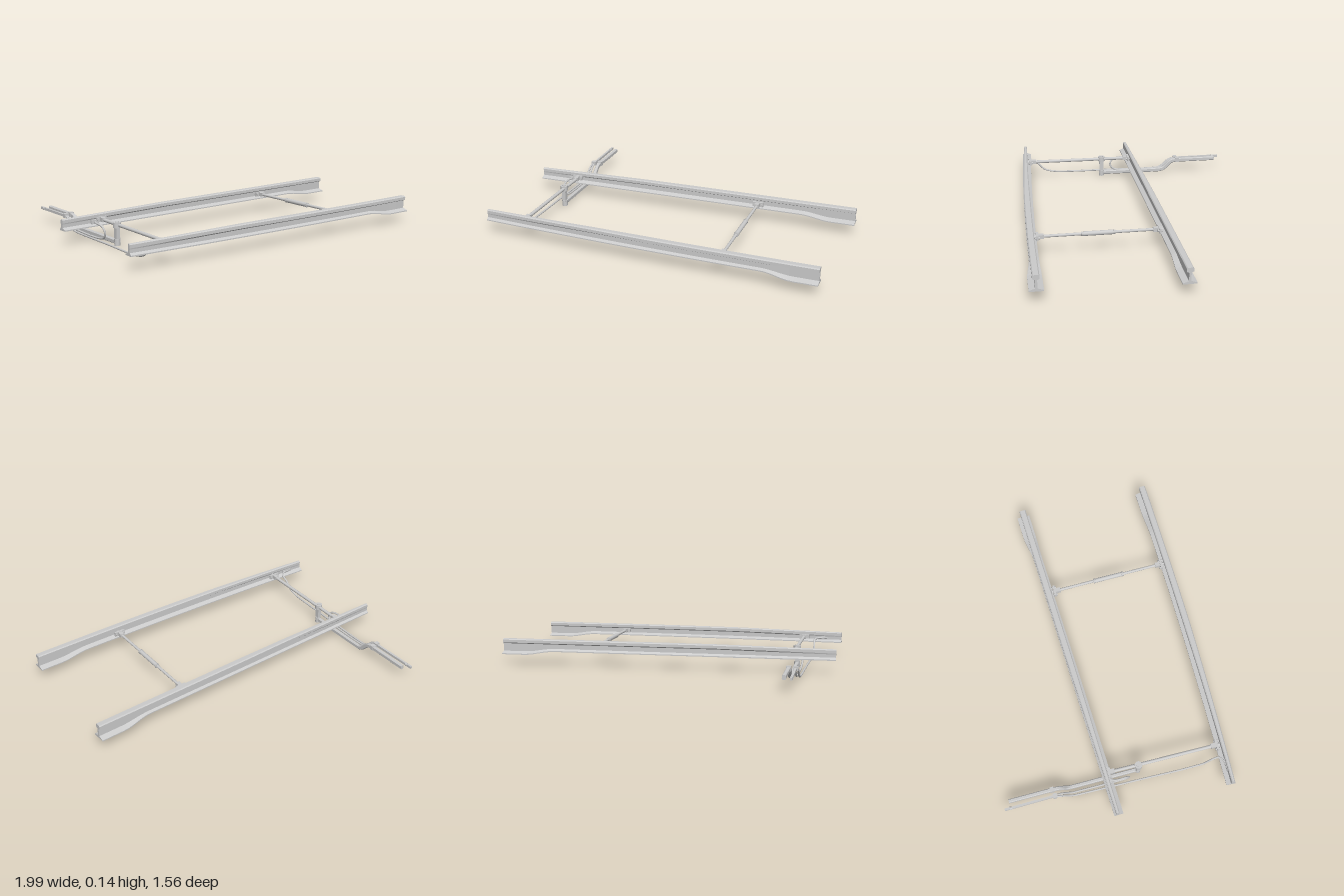
import * as THREE from 'three';

const V = (x, y, z) => new THREE.Vector3(x, y, z);
const UP = V(0, 1, 0);
const grey = new THREE.MeshStandardMaterial({ color: 0xcccccc });
const lerp = THREE.MathUtils.lerp, smooth = THREE.MathUtils.smoothstep;

// Sweeps a counter-clockwise outline, given for each t, along a curve; flat faces, closed ends
function sweep(curve, steps, outline) {
  const rings = [], pos = [];
  for (let i = 0; i <= steps; i++) {
    const t = i / steps, p = curve.getPointAt(t), d = curve.getTangentAt(t);
    const a = UP.clone().cross(d).normalize(), b = d.clone().cross(a);
    rings.push(outline(t).map(([u, v]) => p.clone().addScaledVector(a, u).addScaledVector(b, v)));
  }
  const tri = (...c) => c.forEach((q) => pos.push(q.x, q.y, q.z));
  const n = rings[0].length;
  for (let i = 0; i < steps; i++) {
    for (let j = 0; j < n; j++) {
      const k = (j + 1) % n, r = rings[i], s = rings[i + 1];
      tri(r[j], r[k], s[k]);
      tri(r[j], s[k], s[j]);
    }
  }
  const cap = (t, ring, flip) => {
    const flat = outline(t).map(([u, v]) => new THREE.Vector2(u, v));
    for (const [a, b, c] of THREE.ShapeUtils.triangulateShape(flat, [])) {
      if (flip) tri(ring[a], ring[c], ring[b]);
      else tri(ring[a], ring[b], ring[c]);
    }
  };
  cap(0, rings[0], true);
  cap(1, rings[steps], false);
  const g = new THREE.BufferGeometry();
  g.setAttribute('position', new THREE.Float32BufferAttribute(pos, 3));
  g.computeVertexNormals();
  return g;
}

// Rail section: narrow machined blade at t = 0, full rail at t = 1
function railOutline(t, outward) {
  const heel = smooth(t, 0.84, 0.93), blade = Math.min(t / 0.5, 1);
  const foot = lerp(0.077, 0.058, heel), top = lerp(0.137, 0.145, Math.min(t / 0.35, 1));
  const fi = lerp(0.032, 0.037, heel), fo = lerp(0.019, 0.036, heel);
  const hi = lerp(0.009, 0.018, blade), ho = lerp(0.009, 0.018, blade);
  const w = lerp(0.008, 0.006, heel);
  const pts = [
    [-fi, foot], [fo, foot], [fo, foot + 0.006], [w, foot + 0.016],
    [w, top - 0.027], [ho, top - 0.021], [ho, top - 0.005], [ho - 0.005, top],
    [-hi + 0.005, top], [-hi, top - 0.005], [-hi, top - 0.021], [-w, top - 0.027],
    [-w, foot + 0.016], [-fi, foot + 0.006],
  ];
  return outward > 0 ? pts : pts.map(([u, v]) => [-u, v]).reverse();
}

export function createModel() {
  const model = new THREE.Group();
  const add = (name, geometry, parent = model) => {
    const m = new THREE.Mesh(geometry, grey);
    m.name = name;
    parent.add(m);
    return m;
  };
  // Round bar between two points
  const rod = (name, a, b, r, sides = 14) => {
    const m = add(name, new THREE.CylinderGeometry(r, r, a.distanceTo(b), sides));
    m.position.copy(a).add(b).multiplyScalar(0.5);
    m.quaternion.setFromUnitVectors(UP, b.clone().sub(a).normalize());
    return m;
  };
  // Block turned to lie across the rails
  const yaw = -0.172;
  const block = (name, p, w, h, d) => {
    const m = add(name, new THREE.BoxGeometry(w, h, d));
    m.position.copy(p);
    m.rotation.y = yaw;
    return m;
  };
  const tube = (name, pts, r) =>
    add(name, new THREE.TubeGeometry(new THREE.CatmullRomCurve3(pts, false, 'centripetal'), 90, r, 8));
  // End disc for an open tube
  const endCap = (p, r) => {
    const m = add('rodEnd', new THREE.SphereGeometry(r, 10, 8));
    m.position.copy(p);
  };

  // Two switch rails
  const backPath = new THREE.LineCurve3(V(-0.885, 0, -0.24), V(0.988, 0, 0.023));
  const frontPath = new THREE.QuadraticBezierCurve3(V(-0.994, 0, 0.397), V(-0.1, 0, 0.593), V(0.836, 0, 0.741));
  add('backRail', sweep(backPath, 60, (t) => railOutline(t, 1)));
  add('frontRail', sweep(frontPath, 60, (t) => railOutline(t, -1)));

  // Stretcher with adjusting sleeve near the heel
  const s0 = V(0.337, 0.11, 0.64), s1 = V(0.447, 0.11, -0.03);
  const along = (a, b, t) => a.clone().lerp(b, t);
  rod('heelStretcher', s0, s1, 0.008);
  rod('adjustingSleeve', along(s0, s1, 0.38), along(s0, s1, 0.61), 0.0125);
  for (const t of [0.37, 0.62]) rod('lockNut', along(s0, s1, t - 0.008), along(s0, s1, t + 0.008), 0.014, 6);

  // Stretcher at the toe
  const t0 = V(-0.773, 0.11, 0.43), t1 = V(-0.655, 0.11, -0.205);
  rod('toeStretcher', t0, t1, 0.0095);

  // Rail brackets with bolts for both stretchers
  for (const [a, b] of [[s0, s1], [t0, t1]]) {
    for (const t of [0.025, 0.975]) {
      const p = along(a, b, t);
      block('railBracket', p, 0.06, 0.026, 0.012);
      block('clevis', along(a, b, t < 0.5 ? 0.05 : 0.95), 0.024, 0.022, 0.035);
      for (const s of [-1, 1]) {
        const c = p.clone().add(V(s * 0.022, 0, s * 0.004));
        const dir = b.clone().sub(a).normalize().multiplyScalar(0.013);
        rod('bracketBolt', c.clone().sub(dir), c.clone().add(dir), 0.007, 6);
      }
    }
  }

  // Drop bracket joining the toe stretcher to the throw bar
  const lineX = (z) => -0.693 - (z + 0.025) * 0.172;
  const joint = V(lineX(-0.025), 0, -0.025);
  block('dropBracket', joint.clone().setY(0.066), 0.022, 0.1, 0.024);
  rod('dropBracketPin', joint.clone().setY(0.005), joint.clone().setY(0.128), 0.011);
  rod('dropBracketCollar', joint.clone().setY(0.096), joint.clone().setY(0.124), 0.021, 16);
  rod('dropBracketFoot', joint.clone().setY(0), joint.clone().setY(0.036), 0.016, 16);

  // Cranked throw bar passing under the back rail
  const barPts = [
    [0.019, -0.02], [0.019, -0.2], [0.019, -0.37], [0.021, -0.4], [0.03, -0.422], [0.064, -0.456],
    [0.075, -0.475], [0.078, -0.5], [0.078, -0.6], [0.078, -0.742],
  ].map(([y, z]) => V(lineX(z), y, z));
  const bar = [[-0.01, -0.008], [-0.006, -0.012], [0.006, -0.012], [0.01, -0.008],
    [0.01, 0.008], [0.006, 0.012], [-0.006, 0.012], [-0.01, 0.008]];
  add('throwBar', sweep(new THREE.CatmullRomCurve3(barPts, false, 'centripetal'), 70, () => bar));

  // Long detector rod hooked to the front rail
  const longPts = [
    V(-0.92, 0.1, 0.407), V(-0.86, 0.1, 0.41), V(-0.834, 0.096, 0.395), V(-0.826, 0.075, 0.355),
    V(-0.82, 0.035, 0.315), V(-0.808, 0.019, 0.26), V(-0.795, 0.014, 0.19), V(-0.75, 0.014, -0.03),
    V(-0.683, 0.014, -0.37), V(-0.677, 0.018, -0.4), V(-0.67, 0.035, -0.428), V(-0.664, 0.064, -0.458),
    V(-0.657, 0.077, -0.485), V(-0.648, 0.078, -0.51),
  ];
  tube('longDetectorRod', longPts, 0.0055);
  endCap(longPts[0], 0.0055);

  // Short detector rod hooked to the back rail
  const shortPts = [
    V(-0.69, 0.1, -0.205), V(-0.712, 0.1, -0.17), V(-0.72, 0.09, -0.11), V(-0.719, 0.06, -0.09),
    V(-0.714, 0.032, -0.105), V(-0.705, 0.019, -0.15), V(-0.665, 0.017, -0.37), V(-0.66, 0.02, -0.4),
    V(-0.655, 0.035, -0.425), V(-0.65, 0.064, -0.458), V(-0.646, 0.078, -0.49),
  ];
  tube('shortDetectorRod', shortPts, 0.0055);
  endCap(shortPts[0], 0.0055);

  // Detector rod mounts on the rails
  block('frontDetectorMount', V(-0.89, 0.1, 0.413), 0.07, 0.022, 0.012);
  block('backDetectorMount', V(-0.695, 0.1, -0.2), 0.045, 0.022, 0.014);

  // Clamp and outer detector bar beside the throw bar
  const outer0 = V(-0.65, 0.078, -0.49), outer1 = V(-0.603, 0.078, -0.78);
  add('outerDetectorBar', sweep(new THREE.LineCurve3(outer0, outer1), 1,
    () => [[-0.006, -0.007], [0.006, -0.007], [0.006, 0.007], [-0.006, 0.007]]));
  rod('outerBarCollar', along(outer0, outer1, 0.86), along(outer0, outer1, 0.9), 0.0095);
  block('detectorClamp', V(-0.648, 0.08, -0.503), 0.026, 0.024, 0.022);
  block('throwBarClamp', V(lineX(-0.505), 0.08, -0.505), 0.026, 0.026, 0.022);

  return model;
}
